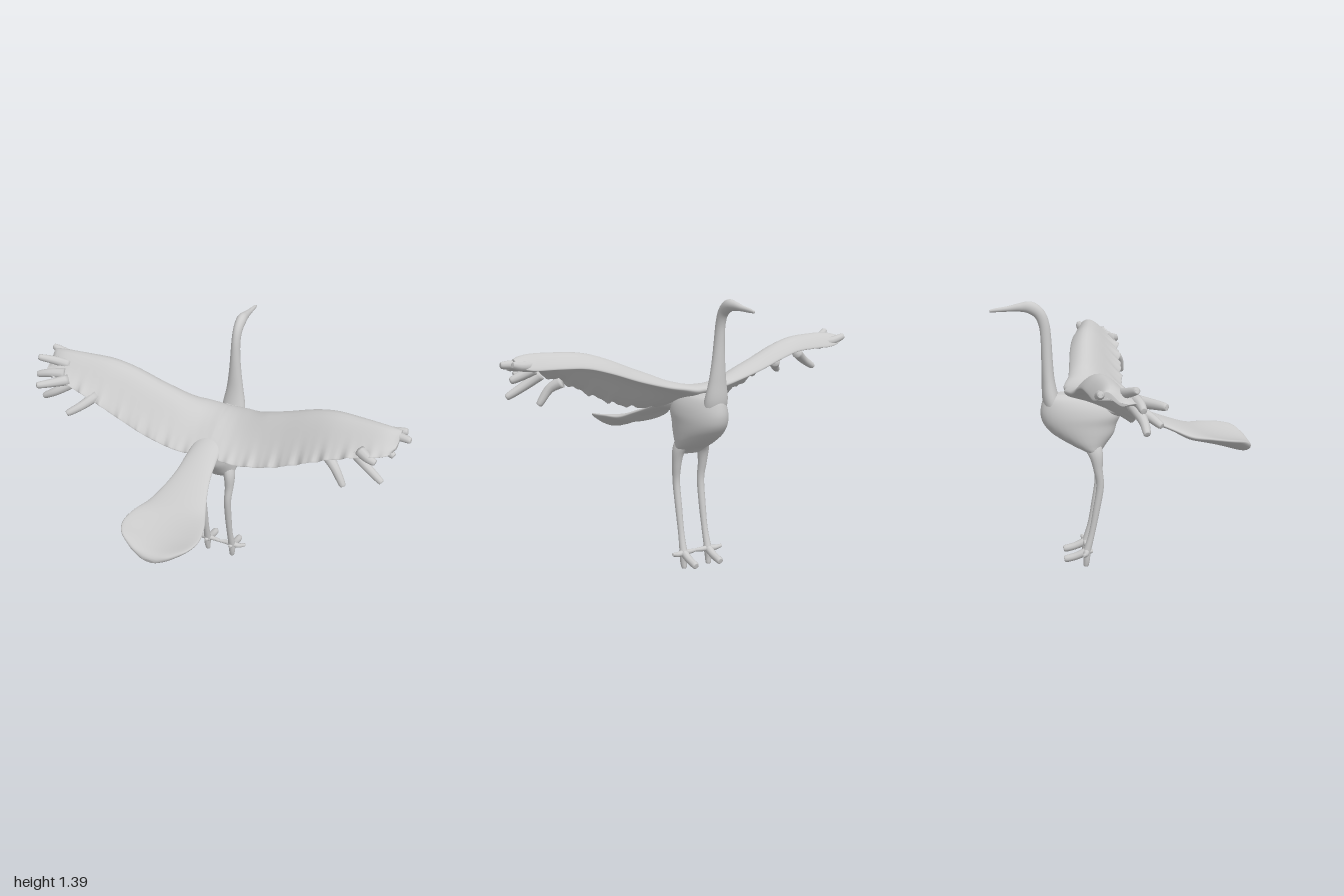
import * as THREE from 'three';

const material = new THREE.MeshStandardMaterial({ color: 0xcccccc, side: THREE.DoubleSide });
const X = new THREE.Vector3(1, 0, 0), Y = new THREE.Vector3(0, 1, 0), Z = new THREE.Vector3(0, 0, 1);

// Smoothly resample rows of numbers (Catmull-Rom on every column)
function resample(rows, steps) {
  const out = [], last = rows.length - 1;
  for (let i = 0; i <= last * steps; i++) {
    const k = Math.min(Math.floor(i / steps), last - 1), t = i / steps - k;
    const [a, b, c, d] = [-1, 0, 1, 2].map(o => rows[Math.min(last, Math.max(0, k + o))]);
    out.push(b.map((v, n) => v + 0.5 * t * (c[n] - a[n]
      + t * (2 * a[n] - 5 * v + 4 * c[n] - d[n] + t * (3 * (v - c[n]) + d[n] - a[n])))));
  }
  return out;
}

// Skin closed rings of points, with both ends closed to their middle
function skin(name, rings) {
  const n = rings[0].length;
  const middle = ring => {
    const m = new THREE.Vector3();
    ring.forEach(p => m.addScaledVector(p, 1 / n));
    return ring.map(() => m);
  };
  const all = [middle(rings[0]), ...rings, middle(rings[rings.length - 1])];
  const index = [];
  for (let i = 0; i < all.length - 1; i++) {
    for (let j = 0; j < n; j++) {
      const a = i * n + j, b = i * n + (j + 1) % n;
      index.push(a, b, b + n, a, b + n, a + n);
    }
  }
  const geometry = new THREE.BufferGeometry().setFromPoints(all.flat());
  geometry.setIndex(index);
  geometry.computeVertexNormals();
  const mesh = new THREE.Mesh(geometry, material);
  mesh.name = name;
  return mesh;
}

// Loft ellipses; rows are x, y, z, half width, half thickness, upward curl of the sides
function loft(name, rows, { ref = X, dir = null, sides = 20, steps = 6 } = {}) {
  const s = resample(rows, steps);
  const pos = s.map(r => new THREE.Vector3(r[0], r[1], r[2]));
  return skin(name, s.map((r, i) => {
    const T = dir || pos[Math.min(i + 1, s.length - 1)].clone().sub(pos[Math.max(i - 1, 0)]).normalize();
    const V = T.clone().cross(ref).normalize(), U = V.clone().cross(T);
    return Array.from({ length: sides }, (_, j) => {
      const a = j / sides * Math.PI * 2, c = Math.cos(a);
      return pos[i].clone().addScaledVector(U, c * Math.max(r[3], 0.002))
        .addScaledVector(V, Math.sin(a) * Math.max(r[4], 0.002) + (r[5] || 0) * c * c);
    });
  }));
}

// Tapered round finger through a few points, with a rounded tip
function finger(name, points, r0, r1, ref = Z) {
  const last = points.length - 1;
  const rows = points.map((p, i) => {
    const r = r0 + (r1 - r0) * i / last;
    return [...p, r, r];
  });
  const tip = points[last].map((v, k) => v + (v - points[last - 1][k]) * 0.12);
  rows.push([...tip, r1 * 0.4, r1 * 0.4]);
  return loft(name, rows, { ref, sides: 10, steps: 4 });
}

// Half wing span; rows are x, leading y, leading z, trailing y, trailing z, camber, half thickness
const wingRows = [
  [0, 0.945, -0.295, 0.835, 0.02, 0.025, 0.042],
  [0.05, 0.945, -0.3, 0.83, 0.03, 0.025, 0.042],
  [0.11, 0.955, -0.29, 0.825, 0.035, 0.03, 0.036],
  [0.2, 0.97, -0.27, 0.83, 0.035, 0.045, 0.032],
  [0.35, 1.01, -0.26, 0.865, 0.03, 0.07, 0.03],
  [0.5, 1.06, -0.25, 0.93, 0.03, 0.08, 0.028],
  [0.62, 1.09, -0.235, 0.99, 0.035, 0.07, 0.028],
  [0.75, 1.095, -0.215, 1.04, 0.03, 0.06, 0.025],
  [0.86, 1.095, -0.2, 1.07, 0.02, 0.05, 0.024],
  [0.92, 1.105, -0.19, 1.085, 0, 0.03, 0.02],
  [0.95, 1.115, -0.18, 1.1, -0.045, 0.01, 0.013],
];

// Both wing blades in one skin across the back, ragged along the trailing edge
function wingBlades() {
  const mirrored = wingRows.slice(1).reverse().map(([x, ...rest]) => [-x, ...rest]);
  const n = 36;
  return skin('wings', resample([...mirrored, ...wingRows], 10).map(([x, yL, zL, yT, zT, camber, h]) => {
    const out = Math.min(1, Math.abs(x) / 0.25);
    const ragged = out * (0.007 * Math.sin(x * 61) + 0.005 * Math.sin(x * 113));
    return Array.from({ length: n }, (_, j) => {
      const a = j / n * Math.PI * 2, t = (1 - Math.cos(a)) / 2;
      const bulge = camber * Math.sin(Math.PI * t) + 0.02 * out * Math.sin(2 * Math.PI * t);
      const y = yL + (yT - yL) * t + bulge * (0.9 + 0.1 * Math.sin(a)) + h * (1 - 0.5 * t) * Math.sin(a);
      return new THREE.Vector3(x - 0.01, y + ragged * t ** 10, zL + (zT - zL) * t + ragged * t ** 10);
    });
  }));
}

function feathers(name, side, list) {
  const group = new THREE.Group();
  group.name = name;
  for (const points of list) {
    group.add(finger('wingFeather', points.map(([x, y, z]) => [side * x, y, z]), 0.029, 0.017));
  }
  return group;
}

// Leg and foot; side is +1 for the left leg
function leg(side) {
  const group = new THREE.Group();
  group.name = side > 0 ? 'leftLeg' : 'rightLeg';
  const x = -0.02 + side * 0.074;
  group.add(loft('shank', [
    [x - side * 0.02, 0.68, -0.165, 0.03, 0.05],
    [x, 0.62, -0.142, 0.03, 0.037],
    [x + side * 0.004, 0.54, -0.132, 0.023, 0.024],
    [x, 0.45, -0.122, 0.019, 0.02],
    [x - side * 0.002, 0.32, -0.142, 0.018, 0.018],
    [x - side * 0.002, 0.2, -0.165, 0.016, 0.016],
    [x, 0.12, -0.186, 0.019, 0.019],
    [x, 0.085, -0.197, 0.022, 0.022],
  ], { sides: 14 }));
  const ankle = [x, 0.095, -0.195];
  group.add(
    finger('outerToe', [ankle, [x + side * 0.04, 0.092, -0.2], [x + side * 0.072, 0.1, -0.21]], 0.018, 0.009),
    finger('innerToe', [ankle, [x - side * 0.04, 0.095, -0.195], [x - side * 0.074, 0.095, -0.19]], 0.016, 0.008),
    finger('frontToe', [ankle, [x, 0.07, -0.25], [x, 0.056, -0.305]], 0.021, 0.018, X),
    finger('lowerToe', [ankle, [x + side * 0.002, 0.05, -0.195], [x, 0.016, -0.199]], 0.022, 0.013, X),
    finger('backToe', [ankle, [x, 0.095, -0.165]], 0.018, 0.01, X),
  );
  return group;
}

export function createModel() {
  const model = new THREE.Group();
  model.name = 'wadingBird';

  // Body: horizontal slices given as y, front z, back z, half width
  const slices = [
    [0.605, -0.17, -0.13, 0.05], [0.63, -0.2, -0.11, 0.092], [0.67, -0.28, -0.08, 0.105],
    [0.72, -0.36, -0.045, 0.11], [0.77, -0.405, -0.03, 0.112], [0.82, -0.42, -0.01, 0.112],
    [0.87, -0.415, -0.03, 0.1], [0.91, -0.4, -0.08, 0.075], [0.93, -0.36, -0.13, 0.04],
  ].map(([y, f, b, w]) => [-0.02, y, (f + b) / 2, w, (b - f) / 2]);
  model.add(loft('body', slices, { dir: Y, sides: 32 }));

  // Neck, head and beak in one sweep
  model.add(loft('neckAndHead', [
    [-0.02, 0.81, -0.335, 0.06, 0.045],
    [-0.02, 0.9, -0.366, 0.064, 0.043],
    [-0.02, 1.0, -0.378, 0.047, 0.033],
    [-0.022, 1.1, -0.382, 0.034, 0.029],
    [-0.024, 1.2, -0.385, 0.026, 0.027],
    [-0.025, 1.28, -0.393, 0.023, 0.027],
    [-0.025, 1.337, -0.416, 0.024, 0.029],
    [-0.025, 1.369, -0.46, 0.026, 0.031],
    [-0.025, 1.371, -0.51, 0.02, 0.022],
    [-0.025, 1.364, -0.57, 0.013, 0.014],
    [-0.025, 1.358, -0.63, 0.009, 0.01],
    [-0.025, 1.354, -0.662, 0.005, 0.006],
  ]));

  // Tail: a stalk that widens into a thick-lipped scoop with raised sides
  model.add(loft('tail', [
    [-0.02, 0.865, -0.16, 0.07, 0.04, 0],
    [-0.02, 0.85, -0.04, 0.08, 0.04, 0],
    [-0.02, 0.828, 0.06, 0.084, 0.028, 0],
    [-0.02, 0.793, 0.15, 0.094, 0.021, 0],
    [-0.02, 0.755, 0.25, 0.12, 0.02, 0],
    [-0.02, 0.715, 0.34, 0.155, 0.027, 0.008],
    [-0.02, 0.69, 0.43, 0.19, 0.024, 0.03],
    [-0.02, 0.668, 0.52, 0.203, 0.025, 0.045],
    [-0.02, 0.65, 0.59, 0.175, 0.03, 0.05],
    [-0.02, 0.64, 0.635, 0.115, 0.03, 0.03],
    [-0.02, 0.634, 0.658, 0.06, 0.021, 0.01],
    [-0.02, 0.632, 0.666, 0.03, 0.01, 0],
  ], { sides: 32 }));

  // Wings with their finger feathers
  model.add(wingBlades());
  model.add(feathers('leftFeathers', 1, [
    [[0.63, 1.0, 0], [0.68, 0.965, 0.035], [0.725, 0.895, 0.05]],
    [[0.75, 1.05, -0.02], [0.82, 1.0, 0], [0.9, 0.95, 0.02]],
    [[0.78, 1.07, -0.01], [0.83, 1.06, 0.02], [0.865, 1.05, 0.025]],
    [[0.82, 1.09, -0.1], [0.88, 1.06, -0.09], [0.925, 1.04, -0.08]],
    [[0.84, 1.11, -0.12], [0.92, 1.12, -0.13], [0.985, 1.12, -0.12]],
    [[0.84, 1.11, -0.15], [0.91, 1.115, -0.175], [0.955, 1.125, -0.18]],
  ]));
  model.add(feathers('rightFeathers', -1, [
    [[0.65, 1.01, -0.01], [0.7, 0.975, 0.06], [0.755, 0.945, 0.11]],
    [[0.79, 1.05, -0.02], [0.87, 1.0, 0.02], [0.94, 0.96, 0.03]],
    [[0.81, 1.07, 0], [0.87, 1.07, 0.06], [0.925, 1.07, 0.11]],
    [[0.84, 1.09, -0.02], [0.92, 1.085, 0], [0.98, 1.07, 0.01]],
    [[0.84, 1.11, -0.08], [0.91, 1.13, -0.06], [0.98, 1.155, -0.02]],
    [[0.84, 1.11, -0.15], [0.91, 1.12, -0.17], [0.98, 1.14, -0.17]],
  ]));

  model.add(leg(1), leg(-1));
  return model;
}
